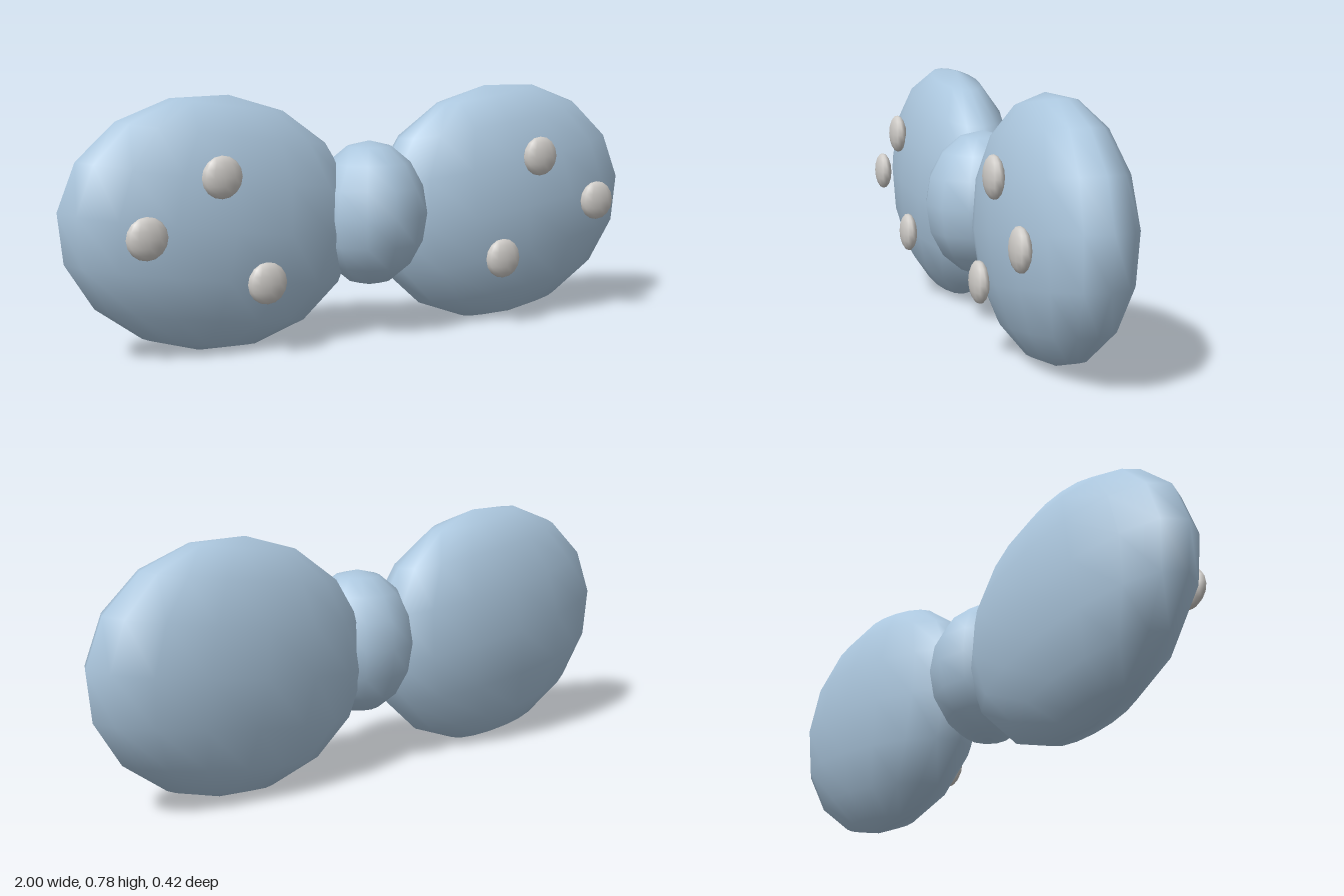
import * as THREE from 'three';

export function createModel() {
  const model = new THREE.Group();
  model.name = 'bow';
  const blue = new THREE.MeshStandardMaterial({ color: 0xabc6dd });
  blue.name = 'pale blue';
  const grey = new THREE.MeshStandardMaterial({ color: 0xcfccc8 });
  grey.name = 'light grey';

  // Smooth low-poly ellipsoid with its poles on y
  function ellipsoid(name, material, sides, radii, position, tilt = 0) {
    const mesh = new THREE.Mesh(new THREE.SphereGeometry(1, sides, 8), material);
    mesh.name = name;
    mesh.scale.set(...radii);
    mesh.position.set(...position);
    mesh.rotation.z = tilt;
    model.add(mesh);
  }

  // Centre knot
  ellipsoid('knot', blue, 12, [0.185, 0.232, 0.186], [0, 0.397, 0.02]);

  // Mirrored loops, each with three spots on the front
  const spots = [[0.56, 0.562], [0.793, 0.4], [0.42, 0.235]];
  for (const [side, s] of [['left', 1], ['right', -1]]) {
    ellipsoid(side + 'Loop', blue, 16, [0.489, 0.393, 0.186], [s * 0.515, 0.397, -0.025], s * 0.14);
    spots.forEach(([x, y], i) =>
      ellipsoid(side + 'Spot' + (i + 1), grey, 12, [0.064, 0.064, 0.027], [s * x, y, 0.16]));
  }
  return model;
}
